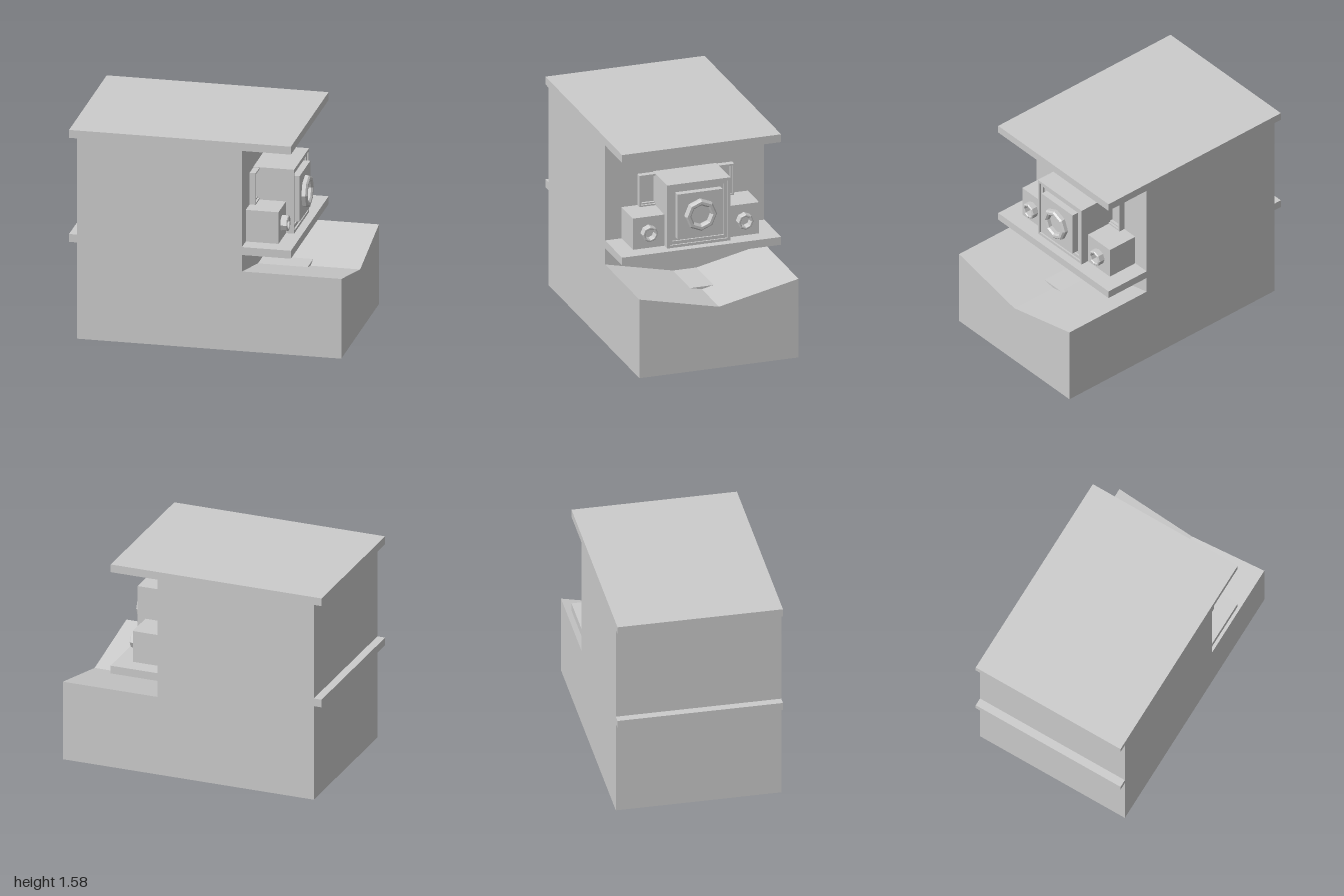
import * as THREE from 'three';

const material = new THREE.MeshStandardMaterial({ color: 0xcccccc, flatShading: true });
const HALF = 0.605; // half depth of the whole housing

export function createModel() {
  const model = new THREE.Group();

  function add(name, geometry) {
    const mesh = new THREE.Mesh(geometry, material);
    mesh.name = name;
    model.add(mesh);
    return mesh;
  }

  const outline = (points) => new THREE.Shape(points.map(([x, y]) => new THREE.Vector2(x, y)));

  // Box given by its limits on each axis
  function box(name, x0, x1, y0, y1, z0, z1) {
    add(name, new THREE.BoxGeometry(x1 - x0, y1 - y0, z1 - z0))
      .position.set((x0 + x1) / 2, (y0 + y1) / 2, (z0 + z1) / 2);
  }

  // Cross-section (drawn across z and y) run along x from x0 to x1
  function alongX(name, shape, x0, x1) {
    const geometry = new THREE.ExtrudeGeometry(shape, { depth: x1 - x0, bevelEnabled: false });
    geometry.rotateY(Math.PI / 2).translate(x0, 0, 0);
    add(name, geometry);
  }

  // Rectangular frame centred on z = 0, with rim width t
  function frame(name, half, y0, y1, t, x0, x1) {
    const rect = (h, a, b) => [[-h, a], [h, a], [h, b], [-h, b]];
    const shape = outline(rect(half, y0, y1));
    shape.holes.push(outline(rect(half - t, y0 + t, y1 - t).reverse()));
    alongX(name, shape, x0, x1);
  }

  // Chamfered eight-sided ring facing +x
  function ring(name, outer, inner, depth, x, y, z) {
    const c = outer * 0.1;
    const profile = [
      [inner, 0], [outer, 0], [outer, depth - c], [outer - c, depth],
      [inner + c, depth], [inner, depth - c], [inner, 0],
    ].map(([r, h]) => new THREE.Vector2(r, h));
    const mesh = add(name, new THREE.LatheGeometry(profile, 8));
    mesh.rotation.z = -Math.PI / 2;
    mesh.position.set(x, y, z);
  }

  // Tall housing with the overhanging roof and shelf
  const housing = outline([
    [-0.94, 0], [0.27, 0], [0.27, 0.73], [0.63, 0.73], [0.63, 0.79], [0.27, 0.79],
    [0.27, 1.52], [0.63, 1.52], [0.63, 1.58], [-1, 1.58], [-1, 1.52], [-0.94, 1.52],
    [-0.94, 0.79], [-1, 0.79], [-1, 0.73], [-0.94, 0.73],
  ]);
  add('housing', new THREE.ExtrudeGeometry(housing, { depth: 2 * HALF, bevelEnabled: false }))
    .position.z = -HALF;

  // Projecting base with a V-shaped trough, and the small fill in its valley
  alongX('troughBase', outline([[-HALF, 0], [HALF, 0], [HALF, 0.605], [0, 0.47], [-HALF, 0.605]]), 0.27, 1);
  alongX('troughFill', outline([[0, 0.47], [0.09, 0.49], [-0.09, 0.49]]), 0.27, 0.635);

  // Shallow framed panel behind the central unit
  box('backPanel', 0.27, 0.28, 1.03, 1.27, -0.36, 0.36);
  frame('backPanelRim', 0.36, 1.03, 1.27, 0.011, 0.27, 0.315);
  frame('backPanelStep', 0.349, 1.041, 1.259, 0.01, 0.27, 0.3);

  // Central unit with stepped rim, raised plate and large ring
  box('centralUnit', 0.27, 0.545, 0.79, 1.275, -0.24, 0.24);
  frame('centralRim', 0.24, 0.79, 1.275, 0.02, 0.545, 0.57);
  frame('centralStep', 0.22, 0.81, 1.255, 0.025, 0.545, 0.558);
  box('centralPlate', 0.545, 0.595, 0.86, 1.205, -0.17, 0.17);
  ring('largeRing', 0.12, 0.076, 0.04, 0.595, 1.035, 0);

  // Pair of side units, each with a small ring
  for (const side of [1, -1]) {
    const [z0, z1] = [0.24 * side, 0.48 * side].sort((a, b) => a - b);
    box('sideUnit', 0.27, 0.51, 0.79, 1.03, z0, z1);
    ring('smallRing', 0.06, 0.039, 0.05, 0.51, 0.91, 0.363 * side);
  }

  return model;
}
